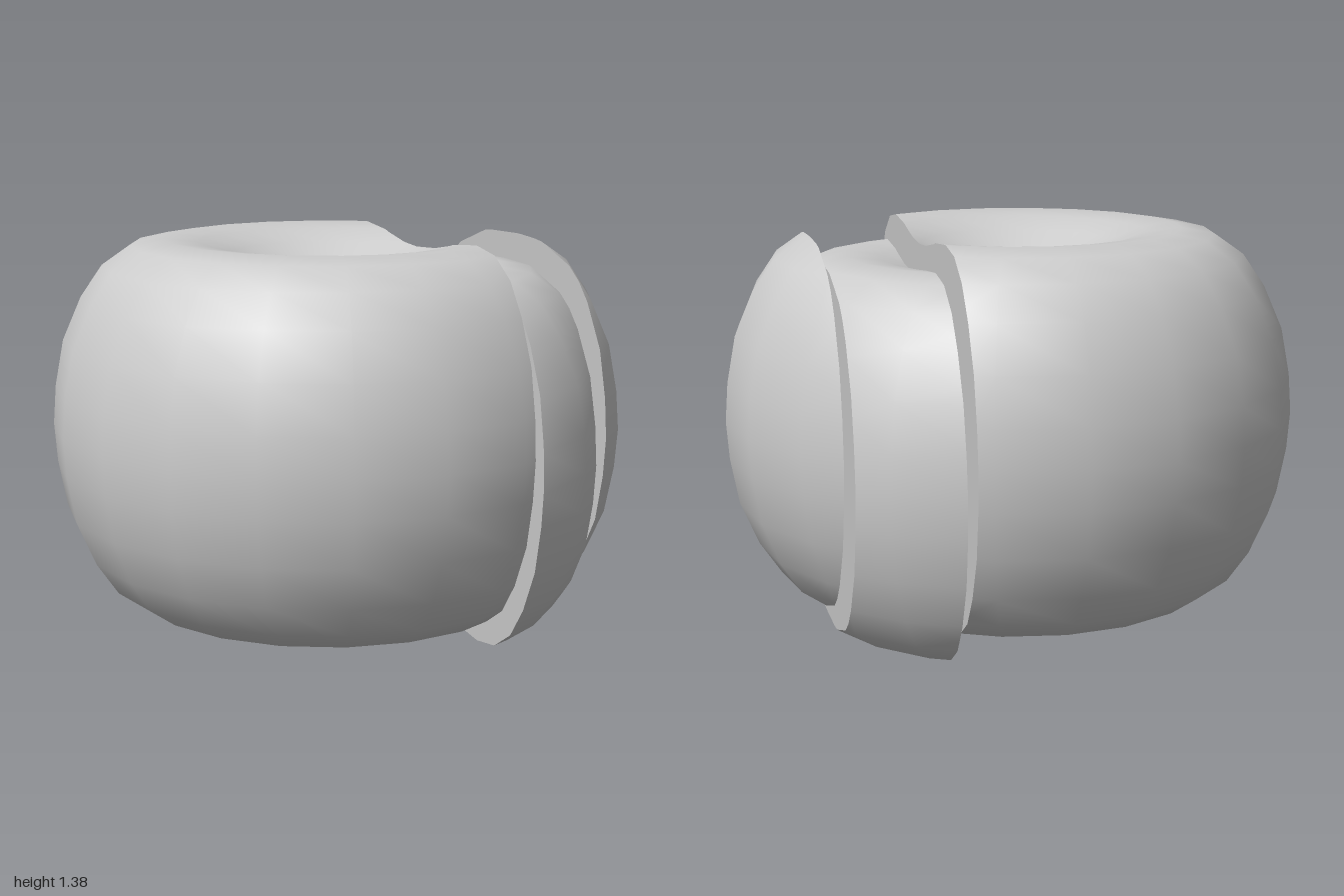
import * as THREE from 'three';

const MID_Y = 0.735; // height of the equator

// Upper half of the profile from the equator to the dimple centre: [radius, height above equator]
const HALF = [
  [0.965, 0], [0.955, 0.135], [0.925, 0.295], [0.86, 0.445], [0.785, 0.555], [0.685, 0.625],
  [0.57, 0.645], [0.45, 0.63], [0.34, 0.59], [0.22, 0.53], [0.1, 0.49], [0, 0.483],
];

// Whole dimpled fruit, turned about y and mirrored top to bottom
function fruitGeometry() {
  const upper = HALF.map(([r, y]) => new THREE.Vector2(r, MID_Y + y));
  const lower = HALF.slice(1).reverse().map(([r, y]) => new THREE.Vector2(r, MID_Y - y));
  return new THREE.LatheGeometry([...lower, ...upper], 20).toNonIndexed();
}

// Cutting planes: slightly leaning first cut, upright second cut
const cutA = (p) => p.x - 0.343 - 0.01 * (p.y - MID_Y);
const cutB = (p) => p.x - 0.66;
const flip = (cut) => (p) => -cut(p);

const mix = (a, b, t) => ({ p: a.p.clone().lerp(b.p, t), n: a.n.clone().lerp(b.n, t).normalize() });

// Keeps the part of a polygon where cut(p) <= 0 and collects the new edge points
function clip(poly, cut, edge) {
  const out = [];
  poly.forEach((a, i) => {
    const b = poly[(i + 1) % poly.length];
    const da = cut(a.p), db = cut(b.p);
    if (da <= 0) out.push(a);
    if ((da <= 0) !== (db <= 0)) {
      const c = mix(a, b, da / (da - db));
      out.push(c);
      edge.push(c.p);
    }
  });
  return out;
}

// Solid slice of the fruit bounded by the given cuts, closed with flat faces
function slice(fruit, cuts) {
  const pos = [], nor = [];
  const tri = (a, b, c) => [a, b, c].forEach((v) => {
    pos.push(...v.p.toArray());
    nor.push(...v.n.toArray());
  });
  const P = fruit.attributes.position, N = fruit.attributes.normal;
  const edges = cuts.map(() => []);

  // Skin
  for (let i = 0; i < P.count; i += 3) {
    let poly = [0, 1, 2].map((k) => ({
      p: new THREE.Vector3().fromBufferAttribute(P, i + k),
      n: new THREE.Vector3().fromBufferAttribute(N, i + k),
    }));
    cuts.forEach((cut, k) => { poly = clip(poly, cut, edges[k]); });
    for (let k = 1; k < poly.length - 1; k++) tri(poly[0], poly[k], poly[k + 1]);
  }

  // Cut faces, fanned from the centre of each cut
  cuts.forEach((cut, k) => {
    const o = new THREE.Vector3(0, MID_Y, 0);
    const n = new THREE.Vector3(1, 0, 0);
    const side = Math.sign(cut(n) - cut(o));
    o.x = -cut(o) * side;
    n.set(side, 0, 0);
    const e = edges[k];
    for (let i = 0; i + 1 < e.length; i += 2) {
      const facing = e[i].clone().sub(o).cross(e[i + 1].clone().sub(o)).dot(n);
      const [a, b] = facing > 0 ? [e[i], e[i + 1]] : [e[i + 1], e[i]];
      tri({ p: o, n }, { p: a, n }, { p: b, n });
    }
  });

  const g = new THREE.BufferGeometry();
  g.setAttribute('position', new THREE.Float32BufferAttribute(pos, 3));
  g.setAttribute('normal', new THREE.Float32BufferAttribute(nor, 3));
  return g;
}

export function createModel() {
  const group = new THREE.Group();
  group.name = 'slicedFruit';
  const material = new THREE.MeshStandardMaterial({ color: 0xcccccc });
  const fruit = fruitGeometry();

  const add = (name, cuts, x, y) => {
    const mesh = new THREE.Mesh(slice(fruit, cuts), material);
    mesh.name = name;
    mesh.position.set(x, y, 0);
    group.add(mesh);
  };

  // Pieces pulled slightly apart, the middle slice slipped down
  add('mainPiece', [cutA], -0.033, 0);
  add('middleSlice', [flip(cutA), cutB], 0, -0.09);
  add('endPiece', [flip(cutB)], 0.035, 0);
  return group;
}
